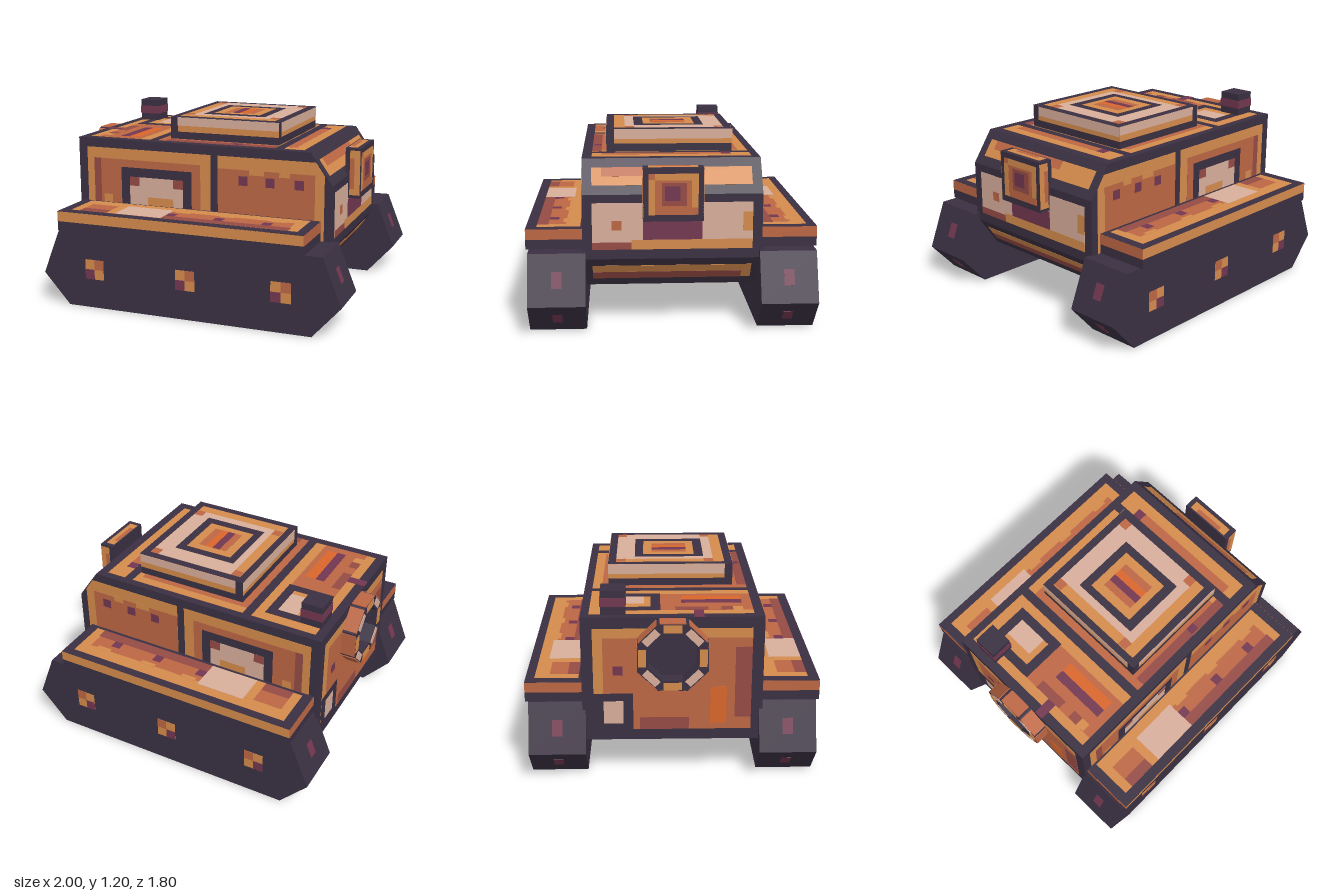
import * as THREE from 'three';

const mat = (name, color, side = THREE.FrontSide) => {
  const m = new THREE.MeshStandardMaterial({ color, side });
  m.name = name;
  return m;
};
const M = {
  dark: mat('dark metal', 0x3a3042, THREE.DoubleSide),
  purple: mat('purple', 0x733750),
  maroon: mat('maroon', 0x964b45),
  rust: mat('rust', 0xbd6744),
  orange: mat('orange', 0xd48b4c),
  peach: mat('peach', 0xd8ae9b),
  bright: mat('bright orange', 0xd9662a),
};

function add(parent, name, geometry, material) {
  const mesh = new THREE.Mesh(geometry, material);
  mesh.name = name;
  parent.add(mesh);
  return mesh;
}

// Box given by its min and max along each axis
function box(parent, name, m, [x0, x1], [y0, y1], [z0, z1]) {
  const mesh = add(parent, name, new THREE.BoxGeometry(x1 - x0, y1 - y0, z1 - z0), m);
  mesh.position.set((x0 + x1) / 2, (y0 + y1) / 2, (z0 + z1) / 2);
  return mesh;
}

// Group whose local xy plane lies on a painted surface
function face(parent, name, pos, ry = 0, rx = 0) {
  const g = new THREE.Group();
  g.name = name;
  g.position.set(...pos);
  g.rotation.set(rx, ry, 0, 'YXZ');
  parent.add(g);
  return g;
}

// Painted plates, rows of [material, u0, u1, v0, v1, layer]; higher layers stand prouder
const thick = (layer) => 0.001 + 0.002 * layer;
function paint(f, rows) {
  for (const [m, u0, u1, v0, v1, layer] of rows) {
    const t = thick(layer) / 2;
    box(f, f.name + ' paint', M[m], [u0, u1], [v0, v1], [-t, t]);
  }
}

const shapeOf = (pts) => new THREE.Shape(pts.map(([x, y]) => new THREE.Vector2(x, y)));

function buildHull(root) {
  const hull = new THREE.Group();
  hull.name = 'hull';
  root.add(hull);
  // Shell with an open bottom
  const prof = [[0.7, 0.25], [0.84, 0.45], [0.84, 0.85], [0.7, 1.05], [-0.9, 1.05], [-0.9, 0.25]];
  const pos = [];
  for (let i = 0; i < prof.length - 1; i++) {
    const [a, b] = [prof[i], prof[i + 1]], w = 0.55;
    pos.push(...a, w, ...a, -w, ...b, -w, ...a, w, ...b, -w, ...b, w);
  }
  const shell = new THREE.BufferGeometry();
  shell.setAttribute('position', new THREE.Float32BufferAttribute(pos, 3));
  shell.computeVertexNormals();
  add(hull, 'hull shell', shell, M.dark);

  // Side walls with a window and a riveted panel
  for (const s of [1, -1]) {
    const f = face(hull, 'side wall', [0, 0, 0.55 * s]);
    add(f, 'side plate', new THREE.ShapeGeometry(shapeOf(prof)), M.dark);
    const panel = new THREE.ExtrudeGeometry(
      shapeOf([[0.09, 0.33], [0.79, 0.33], [0.79, 0.91], [0.735, 0.99], [0.09, 0.99]]),
      { depth: thick(1), bevelEnabled: false });
    add(f, 'riveted panel', panel.translate(0, 0, -thick(1) / 2), M.orange);
    paint(f, [
      ['orange', -0.84, 0.04, 0.33, 0.99, 1],
      ['maroon', -0.79, -0.03, 0.33, 0.92, 2],
      ['rust', -0.74, -0.03, 0.33, 0.92, 3],
      ['orange', -0.72, -0.66, 0.6, 0.68, 4],
      ['dark', -0.59, -0.09, 0.33, 0.87, 3.3],
      ['peach', -0.53, -0.15, 0.38, 0.81, 3.7],
      ['maroon', -0.53, -0.46, 0.75, 0.81, 4],
      ['maroon', -0.22, -0.15, 0.75, 0.81, 4],
      ['orange', -0.4, -0.22, 0.38, 0.68, 4],
      ['rust', 0.09, 0.73, 0.38, 0.91, 2],
      ['orange', 0.3, 0.4, 0.88, 0.92, 3],
      ['orange', 0.5, 0.57, 0.88, 0.92, 3],
      ...[0.26, 0.44, 0.63].map((x) => ['purple', x - 0.03, x + 0.03, 0.81, 0.87, 3]),
    ]);
  }

  // Nose, in three slopes (u runs towards -z)
  const tilt = Math.atan(0.14 / 0.2);
  paint(face(hull, 'nose', [0.84, 0, 0], Math.PI / 2), [
    ['peach', -0.49, 0.49, 0.51, 0.8, 1],
    ['orange', -0.25, 0.49, 0.51, 0.57, 2],
    ['maroon', -0.49, -0.25, 0.51, 0.555, 2],
    ['purple', -0.18, 0.18, 0.57, 0.69, 3],
    ['rust', -0.37, -0.31, 0.63, 0.69, 2],
    ['orange', 0.43, 0.49, 0.62, 0.74, 2],
  ]);
  paint(face(hull, 'upper nose slope', [0.77, 0.95, 0], Math.PI / 2, -tilt), [
    ['orange', -0.49, 0.49, -0.06, 0.06, 1],
    ['rust', -0.43, 0.2, 0.0, 0.06, 2],
  ]);
  paint(face(hull, 'lower nose slope', [0.77, 0.35, 0], Math.PI / 2, tilt), [
    ['orange', -0.49, 0.49, -0.06, 0.06, 1],
    ['maroon', -0.49, 0.43, -0.06, 0.0, 2],
  ]);

  // Rear wall
  paint(face(hull, 'rear wall', [-0.9, 0, 0], Math.PI / 2), [
    ['orange', -0.48, 0.48, 0.32, 0.98, 1],
    ['rust', -0.48, 0.42, 0.32, 0.92, 2],
    ['maroon', -0.48, -0.38, 0.4, 0.86, 3],
    ['maroon', -0.1, 0.2, 0.32, 0.4, 3],
    ['bright', -0.33, -0.23, 0.36, 0.6, 3],
    ['purple', 0.3, 0.36, 0.68, 0.74, 3],
    ['dark', 0.24, 0.48, 0.32, 0.56, 3],
    ['peach', 0.3, 0.42, 0.36, 0.51, 4],
  ]);

  // Roof (v runs towards -z)
  paint(face(hull, 'roof', [0, 1.05, 0], 0, -Math.PI / 2), [
    ['orange', -0.84, -0.41, -0.49, 0.5, 1],
    ['rust', -0.78, -0.48, -0.49, 0.43, 2],
    ['purple', -0.65, -0.59, -0.43, -0.06, 3],
    ['bright', -0.59, -0.52, -0.43, -0.06, 3],
    ['maroon', -0.78, -0.72, -0.37, -0.3, 3],
    ['orange', -0.78, -0.72, -0.43, -0.37, 3],
    ['maroon', -0.78, -0.72, -0.22, -0.02, 3],
    ['purple', -0.9, -0.78, -0.19, -0.13, 3],
    ['dark', -0.78, -0.47, 0.07, 0.43, 3],
    ['orange', -0.72, -0.53, 0.13, 0.37, 3.5],
    ['peach', -0.66, -0.53, 0.17, 0.37, 4],
    ['orange', -0.35, 0.45, -0.49, 0.5, 1],
    ['rust', -0.35, 0.41, -0.49, 0.44, 2],
    ['maroon', -0.3, 0.45, -0.49, -0.43, 3],
    ['purple', 0.16, 0.22, -0.48, -0.43, 4],
    ['orange', 0.51, 0.64, -0.49, 0.5, 1],
    ['rust', 0.51, 0.57, -0.43, 0.38, 2],
    ['purple', 0.51, 0.57, 0.32, 0.38, 3],
  ]);
}

// Raised roof hatch with concentric squares
function buildHatch(root) {
  const g = face(root, 'roof hatch', [0, 0, 0]);
  box(g, 'hatch block', M.dark, [-0.3, 0.445], [1.05, 1.195], [-0.4, 0.4]);
  for (const s of [1, -1]) {
    paint(face(g, 'hatch side', [0, 0, 0.4 * s]), [
      ['orange', -0.25, 0.445, 1.1, 1.195, 1],
      ['peach', -0.25, 0.445, 1.14, 1.195, 2],
    ]);
    paint(face(g, 'hatch end', [s > 0 ? 0.445 : -0.3, 0, 0], Math.PI / 2), [
      ['orange', -0.35, 0.4, 1.1, 1.195, 1],
      ['peach', -0.35, 0.4, 1.13, 1.195, 2],
    ]);
  }
  paint(face(g, 'hatch top', [0, 1.195, 0], 0, -Math.PI / 2), [
    ['dark', -0.3, 0.45, -0.4, 0.4, 1],
    ['orange', -0.255, 0.4, -0.35, 0.35, 1.5],
    ['peach', -0.19, 0.4, -0.28, 0.35, 2],
    ['rust', -0.25, -0.19, -0.28, -0.22, 2.5],
    ['rust', 0.34, 0.4, -0.28, -0.22, 2.5],
    ['rust', 0.34, 0.4, 0.29, 0.35, 2.5],
    ['rust', -0.25, -0.19, 0.29, 0.35, 2.5],
    ['dark', -0.14, 0.285, -0.22, 0.23, 2.7],
    ['orange', -0.09, 0.23, -0.16, 0.175, 3],
    ['rust', -0.03, 0.17, -0.11, 0.12, 3.5],
    ['purple', 0.02, 0.07, -0.11, 0.12, 4],
    ['bright', 0.07, 0.12, -0.11, 0.12, 4],
  ]);
}

// Six-sided track pod with a fender
function buildTrack(root, s) {
  const g = face(root, s > 0 ? 'left track' : 'right track', [0, 0, 0.705 * s]);
  const outline = [[-0.82, 0], [0.82, 0], [1, 0.2], [0.88, 0.5], [-0.88, 0.5], [-1, 0.2]];
  const pod = new THREE.ExtrudeGeometry(shapeOf(outline), { depth: 0.35, bevelEnabled: false });
  add(g, 'track pod', pod.translate(0, 0, -0.175), M.dark);
  // Bolts on the outer side and the sloped ends
  const bolts = face(g, 'side bolts', [0, 0.255, 0.175 * s]);
  for (const x of [-0.63, 0, 0.625]) paint(bolts, [
    ['orange', x - 0.065, x + 0.065, -0.065, 0.065, 1],
    ['rust', x, x + 0.065, 0, 0.065, 2],
    ['purple', x - 0.065, x, -0.065, 0, 2],
  ]);
  for (const e of [1, -1]) {
    paint(face(g, 'upper end bolt', [0.94 * e, 0.35, 0], e * Math.PI / 2, -Math.atan(0.12 / 0.3)),
      [['purple', -0.032, 0.032, -0.05, 0.05, 1]]);
    paint(face(g, 'lower end bolt', [0.91 * e, 0.1, 0], e * Math.PI / 2, Math.atan(0.18 / 0.2)),
      [['purple', -0.03, 0.03, -0.045, 0.045, 1]]);
  }
  // Fender
  const z = s > 0 ? [-0.165, 0.195] : [-0.195, 0.165];
  box(g, 'fender base', M.dark, [-0.875, 0.77], [0.5, 0.56], z);
  box(g, 'fender rim', M.orange, [-0.875, 0.77], [0.56, 0.625], z);
  for (const x of [-0.875, 0.77])
    paint(face(g, 'fender end', [x, 0, 0], Math.PI / 2), [['rust', -z[1], -z[0], 0.56, 0.625, 1]]);
  paint(face(g, 'fender top', [0, 0.625, 0], 0, -Math.PI / 2), [
    ['dark', -0.875, 0.77, -z[1], -z[0], 1],
    ['orange', -0.81, 0.71, -0.13, 0.14, 1.5],
    ['rust', -0.75, 0.64, -0.13, 0.05, 2],
    ['maroon', -0.75, 0.65, -0.13, -0.06, 2.5],
    ['orange', -0.56, -0.18, -0.13, 0.05, 3],
    ['peach', -0.5, -0.18, -0.13, 0.075, 3.5],
    ...[-0.1, 0.2, 0.54].map((x) => ['orange', x - 0.05, x + 0.05, 0.03, 0.06, 3]),
    ...[-0.15, 0.17, 0.485].map((x) => ['purple', x - 0.03, x + 0.03, -0.06, 0.0, 3]),
  ]);
}

// Square lamp on the nose
function buildLamp(root) {
  const g = face(root, 'nose lamp', [0, 0, 0]);
  box(g, 'lamp housing', M.dark, [0.82, 0.917], [0.7, 1.025], [-0.182, 0.182]);
  for (const s of [1, -1]) {
    paint(face(g, 'lamp side', [0, 0, 0.182 * s]), [
      ['orange', 0.85, 0.917, 0.72, 1.01, 1], ['rust', 0.85, 0.88, 0.76, 0.96, 2]]);
  }
  paint(face(g, 'lamp top', [0, 1.025, 0], 0, -Math.PI / 2), [
    ['orange', 0.83, 0.89, -0.15, 0.15, 1], ['rust', 0.83, 0.86, -0.1, 0.1, 2]]);
  paint(face(g, 'lamp front', [0.917, 0.865, 0], Math.PI / 2), [
    ['rust', -0.15, 0.15, -0.125, 0.125, 1],
    ['orange', -0.11, 0.15, 0.085, 0.125, 2],
    ['orange', 0.11, 0.15, -0.08, 0.125, 2],
    ['orange', -0.15, -0.11, -0.125, 0.09, 2],
    ['maroon', -0.07, 0.08, -0.07, 0.07, 2],
    ['purple', -0.05, 0.04, -0.04, 0.05, 3],
  ]);
}

// Eight-sided ring on the rear wall
function buildRing(root) {
  const g = face(root, 'rear ring', [-0.9, 0.828, 0], -Math.PI / 2);
  const octagon = (a) => Array.from({ length: 8 }, (_, i) => {
    const t = (i + 0.5) * Math.PI / 4, r = a / Math.cos(Math.PI / 8);
    return new THREE.Vector2(r * Math.cos(t), r * Math.sin(t));
  });
  const shape = new THREE.Shape(octagon(0.212));
  shape.holes.push(new THREE.Path(octagon(0.145).reverse()));
  add(g, 'ring body', new THREE.ExtrudeGeometry(shape, { depth: 0.095, bevelEnabled: false }), M.dark);
  const disc = add(g, 'ring centre', new THREE.ShapeGeometry(new THREE.Shape(octagon(0.15))), M.dark);
  disc.position.z = 0.01;
  for (let i = 0; i < 8; i++) {
    const seg = face(g, 'ring segment', [0, 0, 0]);
    seg.rotation.z = i * Math.PI / 4;
    box(seg, 'segment rim', M.rust, [0.209, 0.217], [-0.077, 0.077], [0.0, 0.095]);
    box(seg, 'segment face', i % 2 ? M.peach : M.orange, [0.158, 0.205], [-0.055, 0.055], [0.092, 0.099]);
  }
}

export function createModel() {
  const root = new THREE.Group();
  root.name = 'tracked vehicle';
  buildHull(root);
  buildHatch(root);
  buildTrack(root, 1);
  buildTrack(root, -1);
  buildLamp(root);
  buildRing(root);
  // Chimney
  box(root, 'chimney', M.dark, [-0.85, -0.71], [1.05, 1.2], [-0.43, -0.28]);
  box(root, 'chimney band', M.purple, [-0.853, -0.707], [1.1, 1.155], [-0.433, -0.277]);
  return root;
}
